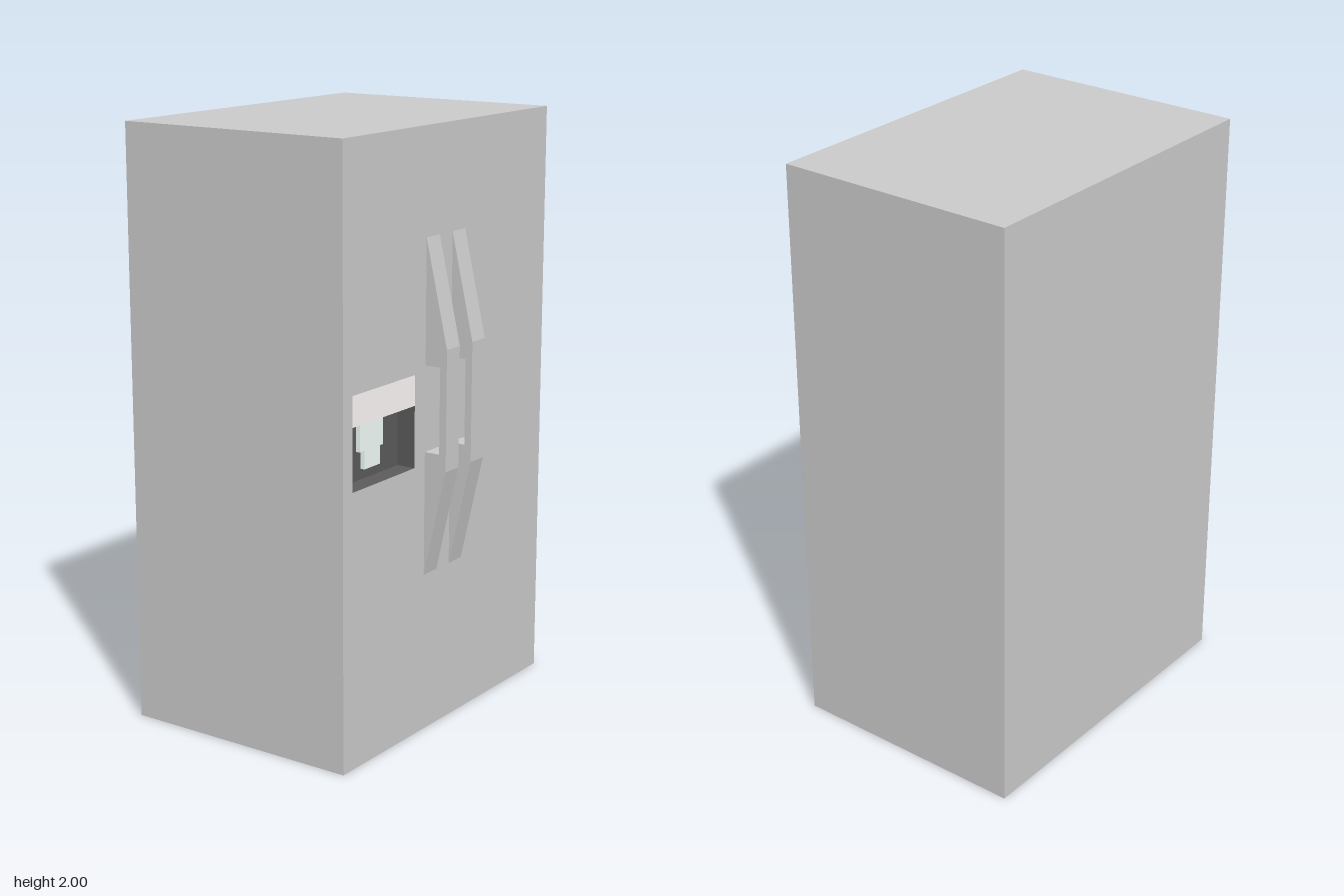
import * as THREE from 'three';

const FRONT = 0.38, BACK = -0.46, HALF = 0.59, HEIGHT = 2;
// Dispenser opening: left, right, bottom, top of recess, top of panel, back of recess
const D = { x0: -0.54, x1: -0.2, y0: 0.915, y1: 1.12, y2: 1.22, z: 0.315 };

const grey = new THREE.MeshStandardMaterial({ color: 0xcccccc });
const dark = new THREE.MeshStandardMaterial({ color: 0x5c5c5c, side: THREE.DoubleSide });
const white = new THREE.MeshStandardMaterial({ color: 0xfffafa });
const mint = new THREE.MeshStandardMaterial({ color: 0xf4fffb });

function add(parent, name, geometry, material) {
  const mesh = new THREE.Mesh(geometry, material);
  mesh.name = name;
  parent.add(mesh);
  return mesh;
}

// Box given by its two extreme corners
function box(x0, x1, y0, y1, z0, z1) {
  return new THREE.BoxGeometry(x1 - x0, y1 - y0, z1 - z0)
    .translate((x0 + x1) / 2, (y0 + y1) / 2, (z0 + z1) / 2);
}

const polygon = (points) => points.map(([x, y]) => new THREE.Vector2(x, y));

export function createModel() {
  const model = new THREE.Group();
  model.name = 'refrigerator';

  // Cabinet: a box open at the front, closed by a front face with the dispenser opening
  const shell = box(-HALF, HALF, 0, HEIGHT, BACK, FRONT);
  const index = Array.from(shell.index.array);
  index.splice(24, 6);
  shell.setIndex(index);
  shell.clearGroups();
  add(model, 'cabinet', shell, grey);

  const face = new THREE.Shape(polygon([[-HALF, 0], [HALF, 0], [HALF, HEIGHT], [-HALF, HEIGHT]]));
  face.holes.push(new THREE.Path(polygon([[D.x0, D.y0], [D.x0, D.y2], [D.x1, D.y2], [D.x1, D.y0]])));
  add(model, 'frontFace', new THREE.ShapeGeometry(face).translate(0, 0, FRONT), grey);

  // Dispenser: dark recess, light control panel and stepped spout
  const dispenser = new THREE.Group();
  dispenser.name = 'dispenser';
  model.add(dispenser);

  const w = D.x1 - D.x0, h = D.y1 - D.y0, depth = FRONT - D.z;
  const cx = (D.x0 + D.x1) / 2, cy = (D.y0 + D.y1) / 2, cz = (FRONT + D.z) / 2;
  add(dispenser, 'recessBack', new THREE.PlaneGeometry(w, h).translate(cx, cy, D.z), dark);
  add(dispenser, 'recessFloor', new THREE.PlaneGeometry(w, depth).rotateX(-Math.PI / 2).translate(cx, D.y0, cz), dark);
  for (const side of [-1, 1]) {
    add(dispenser, 'recessWall', new THREE.PlaneGeometry(depth, h)
      .rotateY(-side * Math.PI / 2).translate(cx + side * w / 2, cy, cz), dark);
  }
  add(dispenser, 'controlPanel', box(D.x0, D.x1, D.y1, D.y2, D.z, FRONT), white);

  const spout = new THREE.Shape(polygon([
    [-0.43, 1.12], [-0.43, 1.01], [-0.405, 1.01], [-0.405, 0.95],
    [-0.32, 0.95], [-0.32, 1.01], [-0.305, 1.01], [-0.305, 1.12],
  ]));
  add(dispenser, 'spout', new THREE.ExtrudeGeometry(spout, { depth: 0.015, bevelEnabled: false })
    .translate(0, 0, D.z), mint);

  // Door handles: side profile (z, y) with a finger gap, swept across x
  const profile = new THREE.Shape(polygon([
    [FRONT, 0.54], [0.46, 0.9], [0.46, 1.3], [FRONT, 1.65],
    [FRONT, 1.24], [0.435, 1.24], [0.435, 0.955], [FRONT, 0.955],
  ]));
  for (const [name, x] of [['rightHandle', -0.14], ['leftHandle', 0.01]]) {
    const handle = new THREE.ExtrudeGeometry(profile, { depth: 0.075, bevelEnabled: false });
    handle.rotateY(-Math.PI / 2).translate(x + 0.075, 0, 0);
    add(model, name, handle, grey);
  }

  return model;
}
